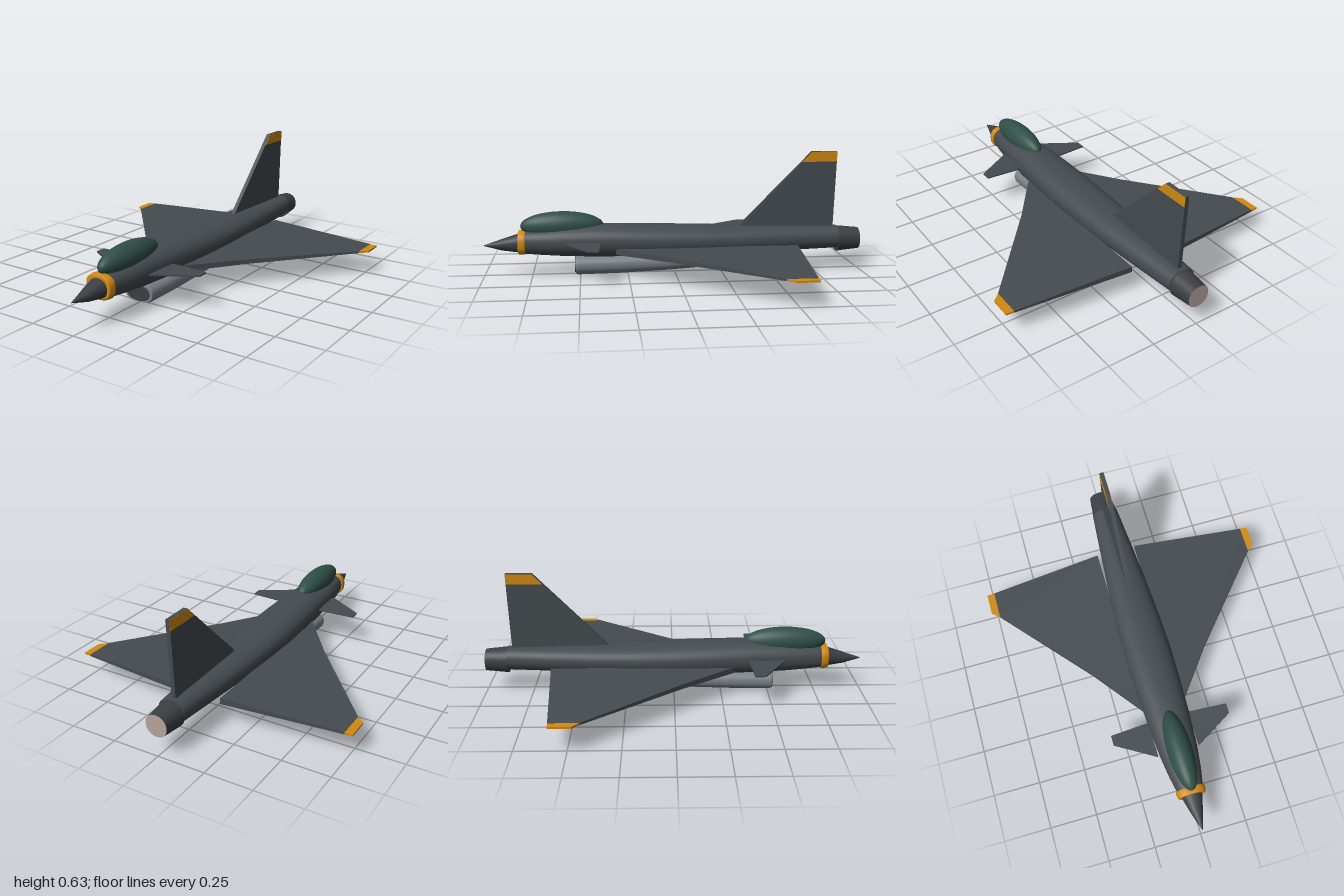
import * as THREE from 'three';

const mat = (name, color, extra = {}) => Object.assign(new THREE.MeshStandardMaterial({ color, ...extra }), { name });

// Smooth skin through sections [z, centreY, halfWidth, halfHeight], ordered front to back.
// Group 0 is the skin, group 1 the front cap, group 2 the back cap.
function loft(sections, power = 2.3, sides = 32) {
  const pos = [], index = [], n = sections.length;
  const round = (v) => Math.sign(v) * Math.abs(v) ** (2 / power);
  const addRing = ([z, y, rx, ry]) => {
    for (let j = 0; j < sides; j++) {
      const a = (j / sides) * Math.PI * 2;
      pos.push(rx * round(Math.cos(a)), y + ry * round(Math.sin(a)), z);
    }
  };
  sections.forEach(addRing);
  for (let i = 0; i < n - 1; i++) {
    for (let j = 0; j < sides; j++) {
      const k = (j + 1) % sides, a = i * sides, b = a + sides;
      index.push(a + j, b + j, a + k, b + j, b + k, a + k);
    }
  }
  const geo = new THREE.BufferGeometry();
  geo.addGroup(0, index.length, 0);
  [sections[0], sections[n - 1]].forEach((s, end) => {
    const base = pos.length / 3;
    addRing(s);
    pos.push(0, s[1], s[0]);
    geo.addGroup(index.length, sides * 3, end + 1);
    for (let j = 0; j < sides; j++) {
      const p = base + j, q = base + (j + 1) % sides;
      index.push(base + sides, end ? q : p, end ? p : q);
    }
  });
  geo.setAttribute('position', new THREE.Float32BufferAttribute(pos, 3));
  geo.setIndex(index);
  geo.computeVertexNormals();
  return geo;
}

// Flat surface from an [x, z] outline; lower and upper heights vary with distance from the centre line.
function surface(outline, side, low, high) {
  const shape = new THREE.Shape(outline.map(([x, z]) => new THREE.Vector2(x * side, -z)));
  const geo = new THREE.ExtrudeGeometry(shape, { depth: 1, bevelEnabled: false }).rotateX(-Math.PI / 2);
  const p = geo.attributes.position;
  for (let i = 0; i < p.count; i++) {
    const x = Math.abs(p.getX(i));
    p.setY(i, p.getY(i) > 0.5 ? high(x) : low(x));
  }
  geo.computeVertexNormals();
  return geo;
}

// Upright plate from a [z, y] outline, centred on x = 0.
function upright(outline, width) {
  const shape = new THREE.Shape(outline.map(([z, y]) => new THREE.Vector2(-z, y)));
  return new THREE.ExtrudeGeometry(shape, { depth: width, bevelEnabled: false })
    .translate(0, 0, -width / 2).rotateY(Math.PI / 2);
}

export function createModel() {
  const model = new THREE.Group();
  model.name = 'jet';
  const grey = mat('airframe grey', 0x454b50);
  const dark = mat('dark grey', 0x3b3f43);
  const belly = mat('intake grey', 0x7a8088);
  const orange = mat('orange marking', 0xd08a10);
  const glass = mat('canopy green', 0x2f4f47);
  const exhaust = mat('exhaust pale', 0xb5a39c);
  const add = (name, geo, material) => {
    const mesh = new THREE.Mesh(geo, material);
    mesh.name = name;
    model.add(mesh);
    return mesh;
  };

  // Fuselage, nose and tail
  add('fuselage', loft([
    [0.80, 0.18, 0.066, 0.059], [0.70, 0.182, 0.086, 0.069], [0.58, 0.184, 0.102, 0.079],
    [0.40, 0.185, 0.115, 0.086], [0.22, 0.182, 0.123, 0.085], [0.03, 0.179, 0.127, 0.082],
    [-0.18, 0.177, 0.122, 0.077], [-0.40, 0.176, 0.110, 0.072], [-0.64, 0.177, 0.092, 0.066],
    [-0.88, 0.178, 0.072, 0.060]]), grey);
  add('noseCone', loft([[0.91, 0.168, 0.031, 0.029], [0.80, 0.178, 0.06, 0.054]], 2.2), dark);
  add('noseTip', loft([[1.0, 0.165, 0.002, 0.002], [0.91, 0.168, 0.031, 0.029]], 2), dark);
  add('noseBand', loft([
    [0.822, 0.18, 0.066, 0.055], [0.818, 0.18, 0.074, 0.061],
    [0.79, 0.18, 0.078, 0.063], [0.784, 0.18, 0.074, 0.06]], 2.6), orange);
  add('nozzle', loft([[-0.88, 0.167, 0.07, 0.069], [-1.0, 0.167, 0.058, 0.057]], 2.1), [dark, dark, exhaust]);

  // Canopy
  const canopy = add('canopy', new THREE.SphereGeometry(1, 40, 24), glass);
  canopy.scale.set(0.066, 0.075, 0.217);
  canopy.position.set(0, 0.265, 0.593);

  // Belly intake with a dark mouth
  add('intake', loft([
    [0.525, 0.057, 0.083, 0.047], [0.51, 0.058, 0.088, 0.053], [0.3, 0.061, 0.088, 0.053],
    [0.08, 0.067, 0.085, 0.051], [-0.1, 0.073, 0.08, 0.046], [-0.26, 0.08, 0.07, 0.039],
    [-0.47, 0.104, 0.04, 0.016]], 2.4), belly);
  add('intakeMouth', loft([[0.529, 0.057, 0.067, 0.04], [0.524, 0.057, 0.067, 0.04]], 2.4), dark);

  // Wings, coloured tips and foreplanes, mirrored
  const wingLow = (x) => 0.124 + x * 0.004;
  const wingHigh = (x) => 0.159 - x * 0.029;
  const wing = [[0.11, 0.315], [0.32, 0.04], [0.732, -0.44], [0.732, -0.588], [0.11, -0.645]];
  const tip = [[0.732, -0.44], [0.772, -0.475], [0.772, -0.585], [0.732, -0.588]];
  const foreplane = [[0.11, 0.583], [0.318, 0.458], [0.318, 0.405], [0.11, 0.392]];
  for (const [label, side] of [['left', 1], ['right', -1]]) {
    add(label + 'Wing', surface(wing, side, wingLow, wingHigh), grey);
    add(label + 'WingTip', surface(tip, side, () => 0.128, () => 0.137), orange);
    add(label + 'Foreplane', surface(foreplane, side, () => 0.185, () => 0.192), grey);
  }

  // Tail fin with thin marking plates on its sides
  add('fin', upright([[-0.33, 0.23], [-0.735, 0.64], [-0.873, 0.64], [-0.858, 0.22]], 0.022), grey);
  const marking = upright([[-0.682, 0.586], [-0.735, 0.639], [-0.873, 0.639], [-0.871, 0.586]], 0.002);
  for (const [label, side] of [['left', 1], ['right', -1]]) {
    add(label + 'FinMarking', marking, orange).position.x = side * 0.0112;
  }
  return model;
}
